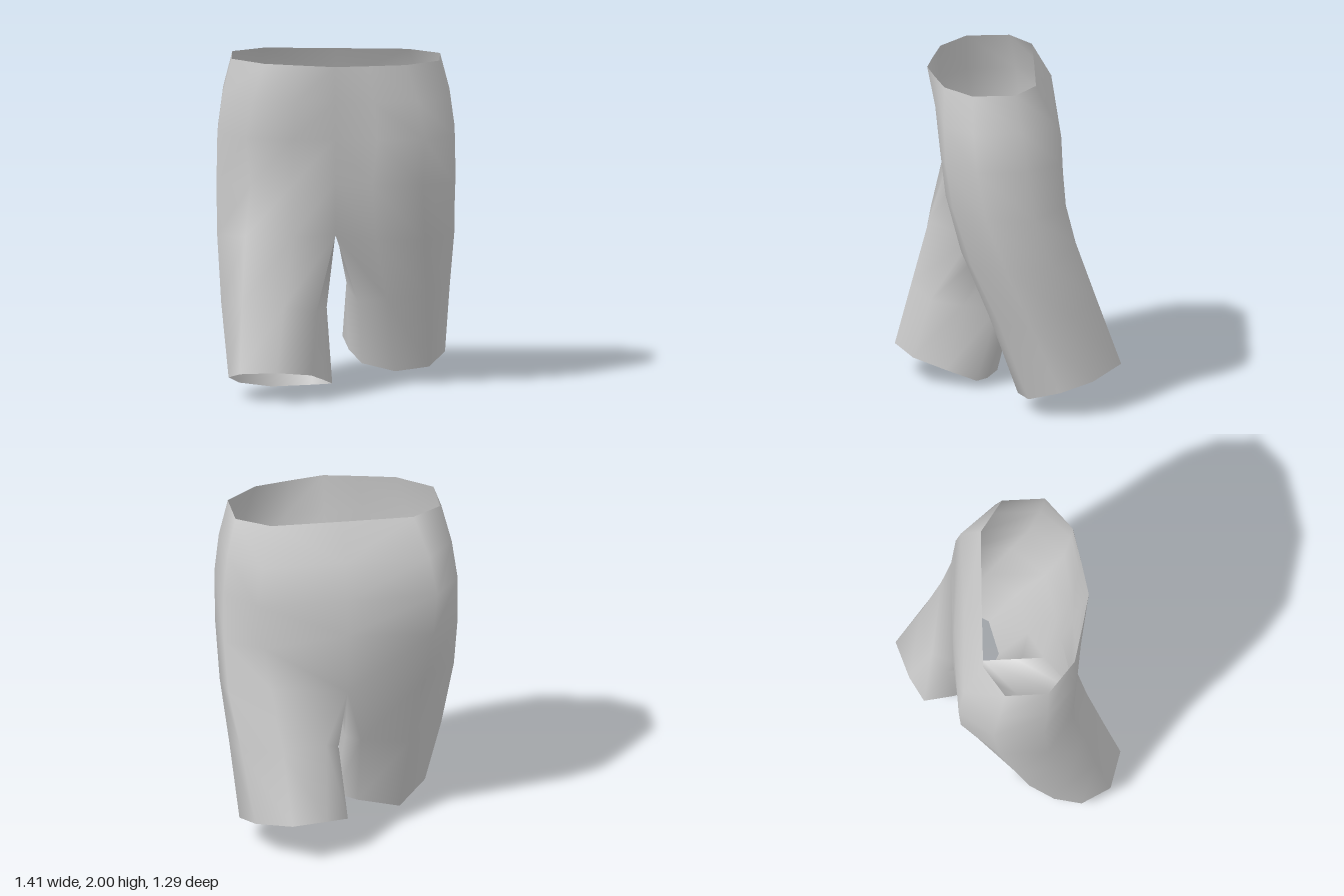
import * as THREE from 'three';
import { mergeVertices } from 'three/addons/utils/BufferGeometryUtils.js';

// Half rings of the waist and hips, centre front -> side -> centre back, as [x, z]
const upper = [
  [2.0, [[0, .475], [.2, .435], [.42, .385], [.615, .225], [.615, -.03], [.425, -.158], [0, -.16]]],
  [1.78, [[0, .43], [.23, .425], [.49, .39], [.67, .22], [.67, -.07], [.5, -.275], [0, -.265]]],
  [1.55, [[0, .38], [.25, .405], [.53, .38], [.7, .2], [.7, -.1], [.54, -.305], [0, -.32]]],
];
const twist = .035; // the hips turn slightly with the stride

// Leg rings as [x, y, z]: seven outer points, then two along the inseam once the legs part
const leftLeg = [
  [[0, 1.28, .31], [.22, 1.27, .38], [.52, 1.27, .355], [.705, 1.25, .17], [.705, 1.25, -.12], [.5, 1.28, -.315],
    [0, 1.33, -.33]],
  [[0, .94, .21], [.24, .93, .29], [.53, .92, .245], [.7, .93, .05], [.695, .96, -.22], [.47, 1.04, -.375],
    [0, .96, -.33], [0, .94, -.15], [0, .94, .04]],
  [[.13, .52, .08], [.3, .55, .13], [.55, .56, .08], [.67, .58, -.1], [.64, .63, -.34], [.42, .68, -.5],
    [.15, .68, -.45], [.06, .62, -.36], [.065, .57, -.12]],
  [[.15, .11, -.14], [.35, .08, -.04], [.55, .1, -.09], [.64, .16, -.27], [.58, .21, -.47], [.39, .26, -.65],
    [.17, .24, -.58], [.03, .21, -.5], [.07, .16, -.32]],
];
const rightLeg = [
  [[0, 1.28, .31], [-.25, 1.27, .355], [-.5, 1.27, .355], [-.705, 1.25, .2], [-.705, 1.25, -.09], [-.52, 1.28, -.31],
    [0, 1.33, -.33]],
  [[0, .94, .21], [-.25, .97, .45], [-.53, .97, .42], [-.7, .95, .25], [-.7, .93, 0], [-.48, .93, -.21],
    [0, .96, -.33], [0, .94, -.15], [0, .94, .04]],
  [[-.11, .52, .45], [-.3, .57, .55], [-.55, .57, .49], [-.675, .55, .3], [-.64, .5, .09], [-.42, .48, -.09],
    [-.13, .5, -.06], [-.055, .48, .05], [-.06, .5, .26]],
  [[-.14, .16, .55], [-.34, .19, .645], [-.56, .17, .575], [-.63, .12, .4], [-.57, .06, .24], [-.38, 0, .035],
    [-.14, .025, .11], [-.02, .045, .18], [-.07, .1, .36]],
];

// Skins one side; the seam at x = 0 is welded afterwards
function addSide(out, leg, side) {
  const hips = upper.map(([y, pts]) => pts.map(([x, z]) => [x * side, y, z + twist * x * side]));
  const rings = [...hips, ...leg];
  const tri = (a, b, c) => out.push(...a, ...(side > 0 ? [...b, ...c] : [...c, ...b]));
  for (let r = 0; r < rings.length - 1; r++) {
    const top = rings[r], low = rings[r + 1], n = top.length;
    const count = n === 7 ? 6 : n; // hips are open at the centre, legs are closed
    for (let j = 0; j < count; j++) {
      const k = (j + 1) % n;
      tri(top[j], low[j], low[k]);
      tri(top[j], low[k], top[k]);
    }
  }
}

export function createModel() {
  const positions = [];
  addSide(positions, leftLeg, 1);
  addSide(positions, rightLeg, -1);
  const raw = new THREE.BufferGeometry();
  raw.setAttribute('position', new THREE.Float32BufferAttribute(positions, 3));
  const geometry = mergeVertices(raw, 1e-4);
  geometry.computeVertexNormals();

  const shorts = new THREE.Mesh(geometry, new THREE.MeshStandardMaterial({ color: 0xcccccc, side: THREE.DoubleSide }));
  shorts.name = 'shorts';
  const group = new THREE.Group();
  group.name = 'stridingShorts';
  group.add(shorts);
  return group;
}
